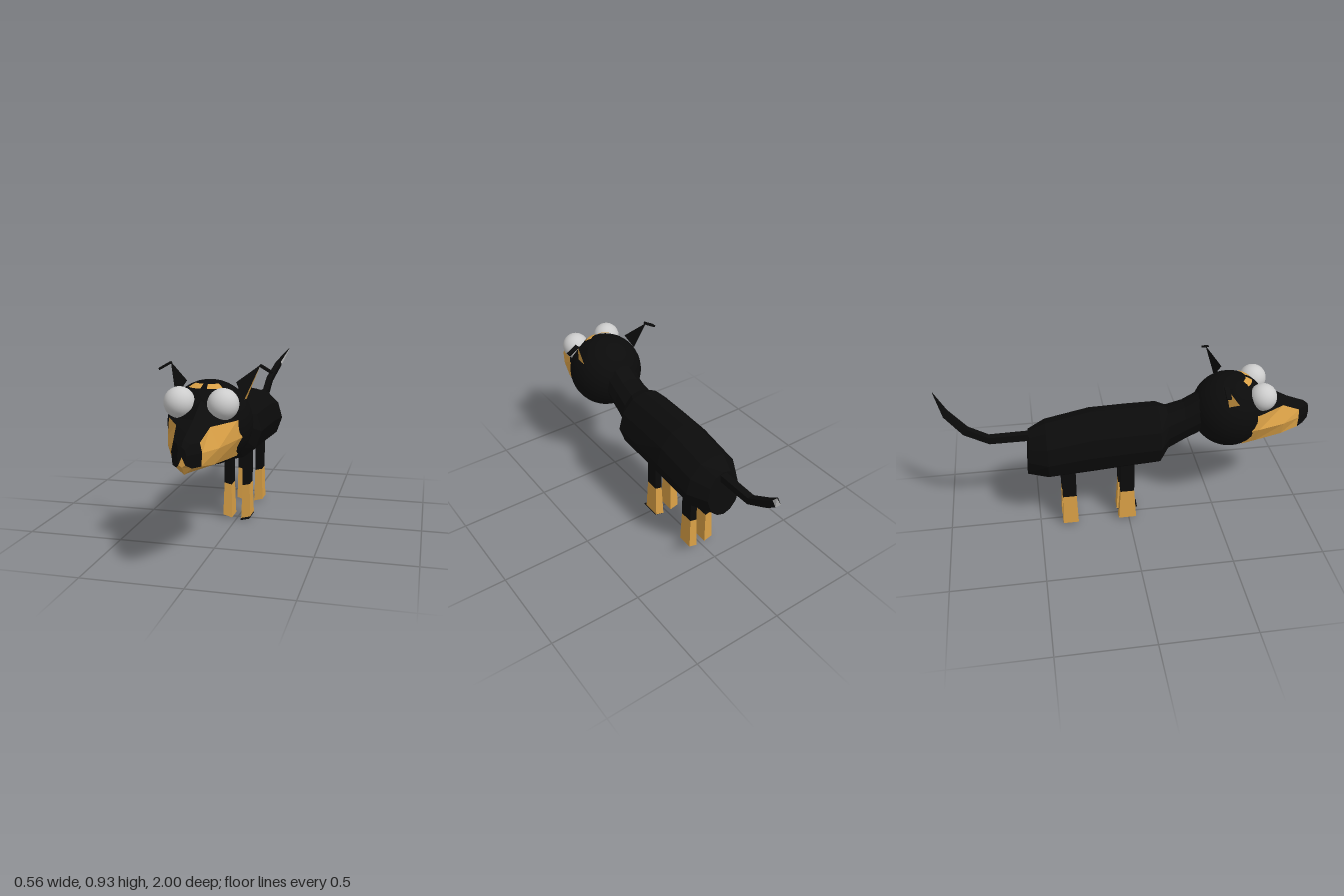
import * as THREE from 'three';

const black = new THREE.MeshStandardMaterial({ color: 0x0b0b0b });
black.name = 'black coat';
const tan = new THREE.MeshStandardMaterial({ color: 0xd9a046 });
tan.name = 'tan markings';
const grey = new THREE.MeshStandardMaterial({ color: 0xcccccc });
grey.name = 'pale grey';
const palette = [black, tan, grey];

// Makes a flat-shaded mesh; each triangle goes to the group of its colour.
function facetedMesh(name, triangles) {
  const positions = [];
  const geometry = new THREE.BufferGeometry();
  palette.forEach((_, m) => {
    const start = positions.length / 3;
    for (const t of triangles) if (t.colour === m) for (const p of t.points) positions.push(...p);
    const count = positions.length / 3 - start;
    if (count) geometry.addGroup(start, count, m);
  });
  geometry.setAttribute('position', new THREE.Float32BufferAttribute(positions, 3));
  geometry.computeVertexNormals();
  const mesh = new THREE.Mesh(geometry, palette);
  mesh.name = name;
  return mesh;
}

// Skins a row of closed rings, with a cap at both ends.
function loft(name, rings, colourAt = () => 0) {
  const triangles = [];
  const add = (colour, ...points) => triangles.push({ colour, points });
  const n = rings[0].length;
  const last = rings.length - 1;
  const middle = (ring) => [0, 1, 2].map((k) => ring.reduce((s, p) => s + p[k], 0) / n);
  for (let j = 0; j < n; j++) {
    const k = (j + 1) % n;
    for (let i = 0; i < last; i++) {
      const [a, b, c, d] = [rings[i][j], rings[i][k], rings[i + 1][k], rings[i + 1][j]];
      add(colourAt(i, j), a, b, d);
      add(colourAt(i, j), b, c, d);
    }
    add(colourAt(0, j), middle(rings[0]), rings[0][k], rings[0][j]);
    add(colourAt(last - 1, j), middle(rings[last]), rings[last][j], rings[last][k]);
  }
  return facetedMesh(name, triangles);
}

// Completes a half outline (top to bottom on +x) with its mirror image.
function mirrored(half) {
  const other = half.slice(1, -1).reverse().map(([x, y, z]) => [-x, y, z]);
  return [...half, ...other];
}

function makeBody() {
  const outline = [[0, 1], [0.45, 0.95], [0.85, 0.75], [1, 0.48], [0.8, 0.2], [0.42, 0.05], [0, 0]];
  // z at top, z at bottom, half width, bottom, top
  const stations = [
    [0.38, 0.38, 0.1, 0.53, 0.76], [0.3, 0.3, 0.1, 0.49, 0.715], [0.21, 0.21, 0.11, 0.44, 0.69],
    [0.16, 0.16, 0.165, 0.37, 0.705], [0, 0, 0.165, 0.36, 0.705], [-0.2, -0.2, 0.165, 0.345, 0.7],
    [-0.44, -0.44, 0.16, 0.33, 0.65], [-0.53, -0.55, 0.1, 0.35, 0.61],
  ];
  return loft('body', stations.map(([zt, zb, w, lo, hi]) => mirrored(
    outline.map(([u, v]) => [u * w, lo + (hi - lo) * v, zb + (zt - zb) * v]))));
}

function makeSnout() {
  // z, top y, colour edge x/y, widest x/y, lower x/y, bottom y
  const stations = [
    [1.0, 0.64, 0.015, 0.625, 0.02, 0.6, 0.015, 0.56, 0.55],
    [0.97, 0.665, 0.03, 0.645, 0.04, 0.6, 0.035, 0.54, 0.51],
    [0.93, 0.68, 0.06, 0.645, 0.07, 0.6, 0.065, 0.54, 0.505],
    [0.83, 0.72, 0.078, 0.693, 0.118, 0.6, 0.095, 0.525, 0.488],
    [0.68, 0.8, 0.162, 0.695, 0.17, 0.61, 0.125, 0.515, 0.462],
    [0.6, 0.82, 0.17, 0.7, 0.185, 0.61, 0.14, 0.51, 0.453],
  ];
  const rings = stations.map(([z, top, ex, ey, wx, wy, lx, ly, low]) =>
    mirrored([[0, top, z], [ex, ey, z], [wx, wy, z], [lx, ly, z], [0, low, z]]));
  return loft('snout', rings, (i, j) => (Math.min(j, 7 - j) >= (i < 2 ? 3 : 1) ? 1 : 0));
}

function makeTail() {
  // x, y, z, half thickness
  const path = [
    [0, 0.582, -0.5, 0.02], [0, 0.58, -0.735, 0.019], [0, 0.645, -0.85, 0.018],
    [0.04, 0.735, -0.945, 0.016], [0.1, 0.83, -1, 0.001],
  ];
  const rings = path.map(([x, y, z, r], i) => {
    const lean = i > 1 ? 0.7 : 0; // tilts the rings as the tail rises
    return [[-1, 1], [1, 1], [1, -1], [-1, -1]].map(([u, v]) =>
      [x + u * r, y + v * r * (1 - lean * 0.3), z + v * r * lean]);
  });
  return loft('tail', rings, (i, j) => (i === 3 && (j === 1 || j === 2) ? 2 : 0));
}

function makeLeg(name, side, z, spread) {
  const ring = (y, w, d, tilt) => [[1, 1], [-1, 1], [-1, -1], [1, -1]].map(([u, v]) =>
    [side * 0.051 + u * w, y + u * side * tilt, z + v * d]);
  const rings = [ring(0.42, 0.02, 0.038, 0), ring(0.195, 0.02, 0.038, 0.005), ring(0.01, 0.025, spread, 0.007)];
  return loft(name, rings, (i) => i);
}

function makeEar(side) {
  const ear = new THREE.Group();
  ear.name = side > 0 ? 'leftEar' : 'rightEar';
  const front = [0.165, 0.765, 0.565], back = [0.165, 0.765, 0.505];
  const inner = [0.12, 0.845, 0.53], tip = [0.222, 0.922, 0.462];
  const faces = [[1, front, back, tip], [0, back, inner, tip], [0, inner, front, tip]];
  ear.add(facetedMesh('earCone', faces.map(([colour, a, b, c]) => {
    const points = [a, b, c].map(([x, y, z]) => [side * x, y, z]);
    return { colour, points: side > 0 ? points : points.reverse() };
  })));
  // Folded tip
  const fold = new THREE.Mesh(new THREE.BoxGeometry(0.068, 0.011, 0.025), black);
  fold.name = 'earFold';
  fold.position.set(side * 0.249, 0.903, 0.467);
  fold.rotation.z = -side * 0.52;
  ear.add(fold);
  return ear;
}

export function createModel() {
  const dog = new THREE.Group();
  dog.name = 'dog';
  dog.add(makeBody(), makeSnout(), makeTail());

  const centre = new THREE.Vector3(0, 0.655, 0.553);
  const head = new THREE.Mesh(new THREE.SphereGeometry(0.203, 32, 20), black);
  head.name = 'head';
  head.position.copy(centre);
  dog.add(head);

  for (const side of [1, -1]) {
    const word = side > 0 ? 'left' : 'right';
    const eye = new THREE.Mesh(new THREE.SphereGeometry(0.073, 24, 16), grey);
    eye.name = word + 'Eye';
    eye.position.set(side * 0.103, 0.772, 0.703);
    dog.add(eye, makeEar(side));

    // Brow mark lying on the head
    const rad = Math.PI / 180;
    const brow = new THREE.Mesh(new THREE.SphereGeometry(0.207, 6, 3,
      (side > 0 ? 98 : 42) * rad, 40 * rad, 21 * rad, 11 * rad), tan);
    brow.name = word + 'Brow';
    brow.position.copy(centre);
    dog.add(brow);

    dog.add(makeLeg(word + 'FrontLeg', side, -0.01, 0.049));
    dog.add(makeLeg(word + 'HindLeg', side, -0.332, 0.043));
  }

  // Dark paw pads under the front feet; the left one sticks out ahead
  const pad = (name, x, z, w, d, tilt) => {
    const mesh = new THREE.Mesh(new THREE.BoxGeometry(w, 0.006, d), black);
    mesh.name = name;
    mesh.position.set(x, 0.008, z);
    mesh.rotation.z = tilt;
    dog.add(mesh);
  };
  pad('leftPawPad', 0.052, 0.003, 0.05, 0.115, 0.25);
  pad('rightPawPad', -0.051, -0.01, 0.025, 0.04, -0.27);
  return dog;
}
